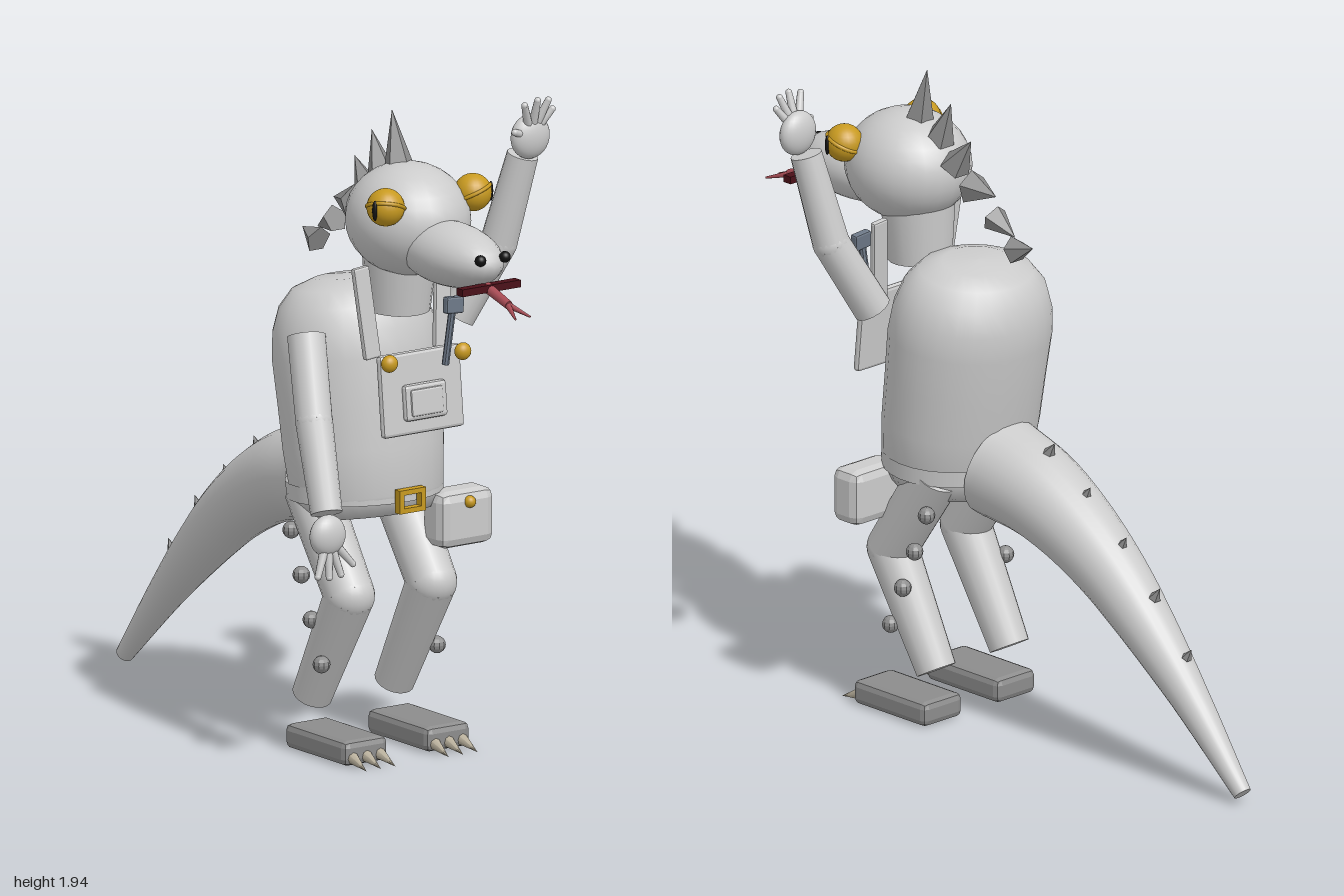
import * as THREE from 'three';
import { RoundedBoxGeometry } from 'three/addons/geometries/RoundedBoxGeometry.js';

const CX = -0.04; // middle plane of the body
const mat = (color, extra = {}) => {
  const m = new THREE.MeshStandardMaterial({ color, side: THREE.DoubleSide });
  return Object.assign(m, extra);
};
const skin = mat(0xcccccc);
const plate = mat(0x8c8c8c, { flatShading: true });
const boot = mat(0x8c8c8c, { flatShading: true });
const cloth = mat(0xcccccc, { flatShading: true });
const gold = mat(0xc89a20);
const black = mat(0x111111);
const darkRed = mat(0x4a1018);
const red = mat(0xa84c55);
const steel = mat(0x6c7786, { flatShading: true });
const claw = mat(0xb9b09c);
const V = (x, y, z) => new THREE.Vector3(x, y, z);

export function createModel() {
  const root = new THREE.Group();
  const add = (name, geo, material, pos = [0, 0, 0], rot = [0, 0, 0], scale = [1, 1, 1]) => {
    const m = new THREE.Mesh(geo, material);
    m.name = name;
    m.position.set(...pos);
    m.rotation.set(...rot);
    m.scale.set(...scale);
    root.add(m);
    return m;
  };
  const ball = (name, material, pos, size, rot) =>
    add(name, new THREE.SphereGeometry(1, 24, 16), material, pos, rot, Array.isArray(size) ? size : [size, size, size]);
  // Tapered rod from a to b
  const rod = (name, material, a, b, ra, rb, sides = 16) => {
    const dir = b.clone().sub(a);
    const m = add(name, new THREE.CylinderGeometry(rb, ra, dir.length(), sides), material);
    m.position.copy(a).addScaledVector(dir, 0.5);
    m.quaternion.setFromUnitVectors(V(0, 1, 0), dir.normalize());
    return m;
  };
  const box = (name, material, size, pos, rot, r = 0.01) =>
    add(name, new RoundedBoxGeometry(...size, 1, r), material, pos, rot);

  // Torso, leaning slightly back
  const torso = [[0, -0.33], [0.2, -0.33], [0.235, -0.27], [0.248, -0.13], [0.252, 0], [0.258, 0.14],
    [0.25, 0.22], [0.225, 0.29], [0.18, 0.34], [0.11, 0.365], [0, 0.37]];
  add('torso', new THREE.LatheGeometry(torso.map((p) => new THREE.Vector2(...p)), 28), skin,
    [CX, 1.04, 0.19], [-0.14, 0, 0], [1, 1, 0.86]);
  add('belt', new THREE.CylinderGeometry(0.243, 0.24, 0.05, 28, 1, true), skin,
    [CX, 0.79, 0.215], [-0.05, 0, 0], [1, 1, 0.87]);
  rod('neck', skin, V(CX, 1.35, 0.38), V(CX, 1.53, 0.39), 0.095, 0.112, 20);

  // Head and snout
  ball('head', skin, [CX, 1.63, 0.43], [0.18, 0.167, 0.196]);
  ball('snout', skin, [CX, 1.565, 0.64], [0.11, 0.094, 0.22]);
  add('mouth', new THREE.BoxGeometry(0.21, 0.022, 0.03), darkRed, [CX, 1.5, 0.83]);
  rod('tongue', red, V(CX, 1.5, 0.82), V(CX, 1.467, 0.93), 0.016, 0.013, 10);
  for (const s of [-1, 1]) {
    rod('tongueTip', red, V(CX, 1.467, 0.925), V(CX + s * 0.027, 1.442, 1), 0.01, 0.003, 8);
    ball('nostril', black, [CX + s * 0.044, 1.59, 0.85], 0.017);
    // Eye with lid ring and slit pupil
    const eye = [CX + s * 0.157, 1.705, 0.535];
    ball('eye', gold, eye, 0.056);
    add('eyeRing', new THREE.TorusGeometry(0.055, 0.006, 8, 28), gold, eye, [1.25, s * 0.3, 0]);
    ball('pupil', black, [eye[0] + s * 0.052, 1.705, eye[2] + 0.018], [0.007, 0.03, 0.008], [0, -s * 0.3, 0]);
  }

  // Crest: base z, y, tip z, y, radius
  [[0.385, 1.775, 0.35, 1.94, 0.046], [0.3, 1.735, 0.25, 1.86, 0.046], [0.235, 1.67, 0.165, 1.765, 0.048],
    [0.165, 1.625, 0.06, 1.62, 0.052], [0.07, 1.555, -0.02, 1.515, 0.042], [-0.015, 1.475, -0.094, 1.5, 0.042],
  ].forEach(([z, y, tz, ty, r]) => rod('crestSpike', plate, V(CX, y, z), V(CX, ty, tz), r, 0, 5));

  // Tail: circular sections swept along a drooping curve
  const tail = [[0.035, 0.79, 0.152], [-0.12, 0.755, 0.138], [-0.275, 0.685, 0.12], [-0.42, 0.59, 0.103],
    [-0.555, 0.475, 0.086], [-0.75, 0.285, 0.058], [-0.975, 0.04, 0.027]];
  const path = new THREE.CatmullRomCurve3(tail.map(([z, y]) => V(CX, y, z)));
  const radii = new THREE.CatmullRomCurve3(tail.map(([, , r], i) => V(i, r, 0)));
  const rows = 30, sides = 24, pos = [], idx = [];
  for (let i = 0; i <= rows; i++) {
    const c = path.getPoint(i / rows), t = path.getTangent(i / rows), r = radii.getPoint(i / rows).y;
    const up = V(0, -t.z, t.y);
    for (let j = 0; j < sides; j++) {
      const a = (j / sides) * Math.PI * 2, u = Math.cos(a) * r;
      pos.push(c.x + Math.sin(a) * r, c.y + up.y * u, c.z + up.z * u);
      if (i < rows) {
        const p = i * sides + j, q = i * sides + ((j + 1) % sides);
        idx.push(p, p + sides, q, q, p + sides, q + sides);
      }
    }
  }
  const tailGeo = new THREE.BufferGeometry();
  tailGeo.setAttribute('position', new THREE.Float32BufferAttribute(pos, 3));
  tailGeo.setIndex(idx);
  tailGeo.computeVertexNormals();
  add('tail', tailGeo, skin);
  for (const k of [0, rows]) {
    const end = path.getPoint(k / rows), t = path.getTangent(k / rows).multiplyScalar(k ? 1 : -1);
    add('tailCap', new THREE.CircleGeometry(k ? 0.027 : 0.152, sides), skin, end.toArray())
      .quaternion.setFromUnitVectors(V(0, 0, 1), t);
  }
  // Tail spikes: base z, y, size
  [[-0.15, 0.865, 0.065], [-0.305, 0.775, 0.057], [-0.46, 0.665, 0.05], [-0.605, 0.55, 0.042], [-0.74, 0.4, 0.036],
  ].forEach(([z, y, h]) => rod('tailSpike', plate, V(CX, y, z), V(CX, y + h * 0.85, z - h * 0.55), h * 0.45, 0, 5));

  // Legs, feet, claws and side studs
  for (const s of [-1, 1]) {
    const x = CX + s * 0.148;
    const hip = V(x, 0.783, 0.153), knee = V(x, 0.5, 0.343), ankle = V(x, 0.166, 0.158);
    rod('thigh', skin, hip, knee, 0.08, 0.075, 20);
    ball('knee', skin, knee.toArray(), 0.075);
    rod('shin', skin, knee, ankle, 0.075, 0.06, 20);
    box('foot', boot, [0.158, 0.075, 0.305], [x, 0.048, 0.278], [0, 0, 0], 0.02);
    for (const k of [-1, 0, 1])
      rod('toeClaw', claw, V(x + k * 0.048, 0.04, 0.41), V(x + k * 0.052, 0.01, 0.5), 0.022, 0, 8);
    for (let i = 0; i < 4; i++)
      add('legStud', new THREE.SphereGeometry(0.026, 10, 8), plate,
        [CX + s * 0.208, 0.665 - i * 0.125, 0.137 + i * 0.05]);
  }

  // Arms: one hanging, one raised
  const arm = (side, shoulder, elbow, wrist, palm, palmSize, tips) => {
    rod(side + 'UpperArm', skin, shoulder, elbow, 0.057, 0.055);
    ball(side + 'Elbow', skin, elbow.toArray(), 0.055);
    rod(side + 'Forearm', skin, elbow, wrist, 0.055, 0.047);
    ball(side + 'Hand', skin, palm.toArray(), palmSize);
    for (const tip of tips) {
      const root = palm.clone().lerp(tip, 0.35);
      rod(side + 'Finger', skin, root, tip, 0.014, 0.01, 10);
      ball(side + 'FingerTip', skin, tip.toArray(), 0.01);
    }
  };
  arm('right', V(-0.29, 1.28, 0.27), V(-0.335, 1.05, 0.37), V(-0.37, 0.8, 0.48),
    V(-0.388, 0.742, 0.51), [0.06, 0.062, 0.036],
    [V(-0.437, 0.628, 0.53), V(-0.4, 0.622, 0.535), V(-0.358, 0.626, 0.535), V(-0.312, 0.65, 0.53)]);
  arm('left', V(0.22, 1.275, 0.31), V(0.33, 1.49, 0.37), V(0.373, 1.76, 0.43),
    V(0.378, 1.82, 0.46), [0.066, 0.067, 0.036],
    [V(0.333, 1.925, 0.495), V(0.376, 1.935, 0.5), V(0.418, 1.93, 0.495), V(0.436, 1.9, 0.49), V(0.308, 1.845, 0.48)]);

  // Bib with pocket, straps and buttons
  box('bib', cloth, [0.29, 0.245, 0.025], [CX, 1.122, 0.49], [-0.1, 0, 0]);
  box('bibPocket', cloth, [0.15, 0.108, 0.025], [CX, 1.098, 0.512], [-0.1, 0, 0]);
  box('pocketPanel', cloth, [0.115, 0.08, 0.014], [CX, 1.098, 0.523], [-0.1, 0, 0], 0.006);
  for (const s of [-1, 1]) {
    box('strap', cloth, [0.056, 0.275, 0.02], [CX + s * 0.137, 1.36, 0.41], [-0.1, 0, -s * 0.09], 0.006);
    ball('button', gold, [CX + s * 0.132, 1.228, 0.52], [0.026, 0.026, 0.022]);
  }

  // Hammer tucked into the bib
  rod('toolHandle', steel, V(0.022, 1.2, 0.53), V(0.038, 1.38, 0.545), 0.011, 0.011, 8);
  box('toolHead', steel, [0.062, 0.05, 0.026], [0.04, 1.38, 0.545], [-0.05, 0, -0.08], 0.006);

  // Belt buckle with open middle
  const frame = new THREE.Shape([[-0.047, -0.035], [0.047, -0.035], [0.047, 0.035], [-0.047, 0.035]]
    .map((p) => new THREE.Vector2(...p)));
  frame.holes.push(new THREE.Path([[-0.031, -0.02], [-0.031, 0.02], [0.031, 0.02], [0.031, -0.02]]
    .map((p) => new THREE.Vector2(...p))));
  add('buckle', new THREE.ExtrudeGeometry(frame, { depth: 0.025, bevelEnabled: false }), gold, [CX, 0.785, 0.43]);

  // Hip pouch
  box('pouch', cloth, [0.195, 0.17, 0.11], [0.188, 0.69, 0.365], [0, 0, 0], 0.03);
  ball('pouchButton', gold, [0.19, 0.742, 0.42], 0.018);
  return root;
}
